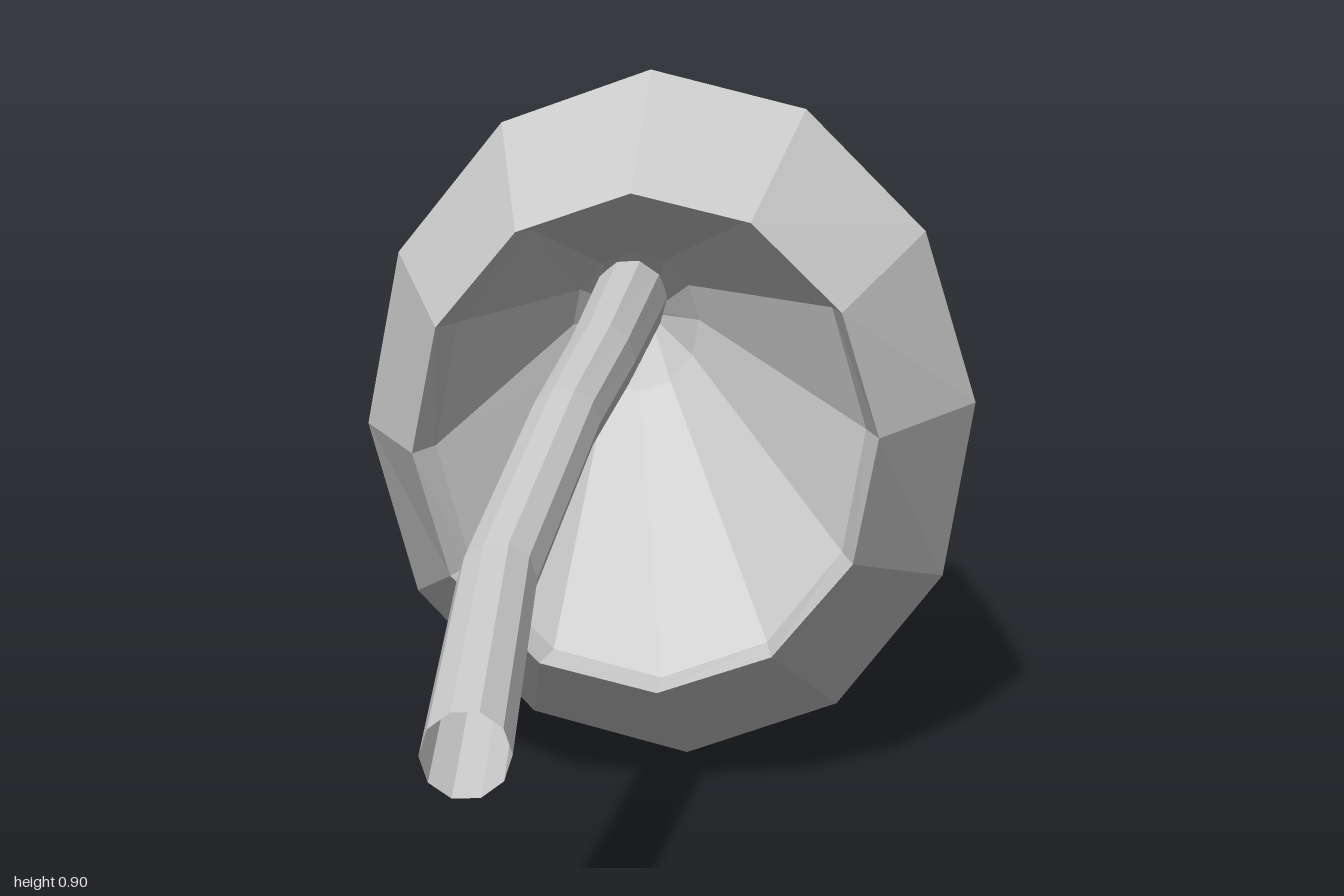
import * as THREE from 'three';

// Skin a chain of tilted elliptical rings.
// ring: [cx, cy, cz, rx, ry, dz/dx, dz/dy]
function loft(name, rings, sides, turn, capEnd) {
  const point = ([cx, cy, cz, rx, ry, sx = 0, sy = 0], j) => {
    const a = (j / sides) * Math.PI * 2 + turn;
    const dx = rx * Math.cos(a), dy = ry * Math.sin(a);
    return [cx + dx, cy + dy, cz + sx * dx + sy * dy];
  };
  const pos = [];
  for (let i = 0; i < rings.length - 1; i++) {
    for (let j = 0; j < sides; j++) {
      const a = point(rings[i], j), b = point(rings[i], j + 1);
      const c = point(rings[i + 1], j), d = point(rings[i + 1], j + 1);
      pos.push(...a, ...c, ...b, ...b, ...c, ...d);
    }
  }
  if (capEnd) {
    const last = rings[rings.length - 1];
    for (let j = 0; j < sides; j++) {
      pos.push(...last.slice(0, 3), ...point(last, j + 1), ...point(last, j));
    }
  }
  const geo = new THREE.BufferGeometry();
  geo.setAttribute('position', new THREE.Float32BufferAttribute(pos, 3));
  geo.computeVertexNormals();
  const mat = new THREE.MeshStandardMaterial({
    color: 0xcccccc, flatShading: true, side: THREE.DoubleSide,
  });
  const mesh = new THREE.Mesh(geo, mat);
  mesh.name = name;
  return mesh;
}

export function createModel() {
  const model = new THREE.Group();
  model.name = 'mushroom';

  // Cap: hollow underside, lip, widest ring, shoulder and flat crown
  model.add(loft('cap', [
    [-0.02, 0.55, -0.62, 0.01, 0.01],
    [-0.04, 0.56, -0.50, 0.085, 0.095, 0.15, -0.06],
    [-0.035, 0.463, -0.20, 0.275, 0.315, 0.15, -0.06],
    [-0.045, 0.463, -0.145, 0.295, 0.32, 0.16, -0.06],
    [0, 0.453, -0.405, 0.405, 0.453, 0.17, -0.155],
    [0.12, 0.487, -0.865, 0.262, 0.28, 0.163, -0.08],
    [0.12, 0.475, -0.975, 0.125, 0.142, 0.15, -0.1],
  ], 12, 0.05, true));

  // Stem: thin bent open tube, slightly wider inside the cap
  model.add(loft('stem', [
    [-0.265, 0.407, 1, 0.045, 0.045],
    [-0.233, 0.471, 0.57, 0.043, 0.043],
    [-0.152, 0.552, 0.14, 0.043, 0.043],
    [-0.1, 0.572, -0.15, 0.045, 0.05],
    [-0.045, 0.585, -0.55, 0.05, 0.06],
  ], 10, 0, false));

  return model;
}
